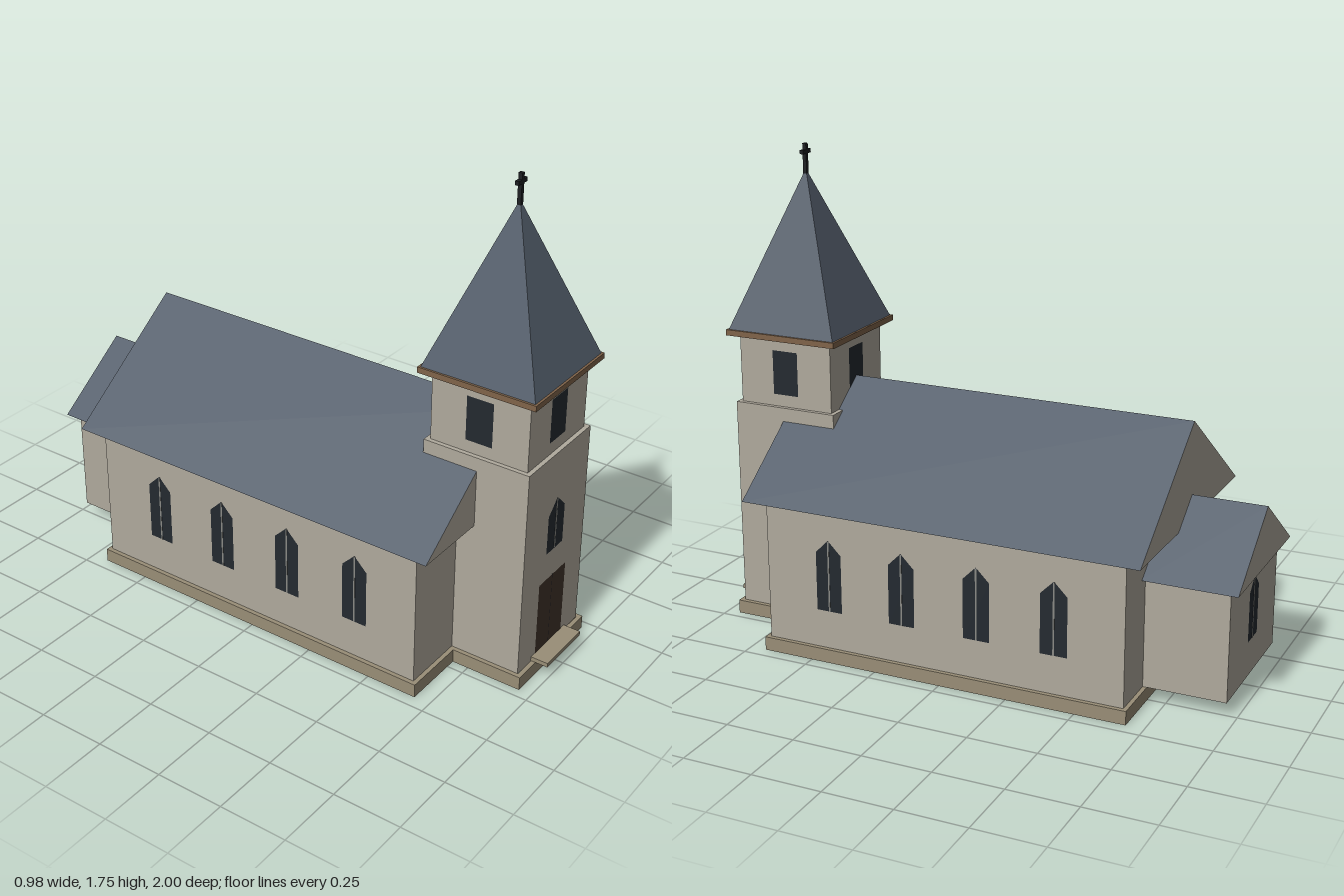
import * as THREE from 'three';

const paint = (color) => new THREE.MeshStandardMaterial({ color, flatShading: true });

export function createModel() {
  const church = new THREE.Group();
  const stone = paint(0xb0aa9d), slate = paint(0x525c69), plinth = paint(0x998e77);
  const timber = paint(0x80644a), wood = paint(0x41332a), glass = paint(0x242a30);
  const iron = paint(0x1d1f22), lead = paint(0x8a8a85);

  const add = (name, geometry, material, parent = church) => {
    const mesh = new THREE.Mesh(geometry, material);
    mesh.name = name;
    parent.add(mesh);
    return mesh;
  };
  // Box given by its extents on each axis
  const box = (name, material, [x0, x1], [y0, y1], [z0, z1], parent) => {
    const mesh = add(name, new THREE.BoxGeometry(x1 - x0, y1 - y0, z1 - z0), material, parent);
    mesh.position.set((x0 + x1) / 2, (y0 + y1) / 2, (z0 + z1) / 2);
  };
  const rectangle = (Type, half, z0, z1) => new Type([
    new THREE.Vector2(-half, -z1), new THREE.Vector2(half, -z1),
    new THREE.Vector2(half, -z0), new THREE.Vector2(-half, -z0),
  ]);
  // Open kerb running round the foot of the walls
  const kerb = (name, half, z0, z1) => {
    const width = 0.016;
    const shape = rectangle(THREE.Shape, half, z0, z1);
    shape.holes.push(rectangle(THREE.Path, half - width, z0 + width, z1 - width));
    const geometry = new THREE.ExtrudeGeometry(shape, { depth: 0.05, bevelEnabled: false });
    add(name, geometry.rotateX(-Math.PI / 2), plinth);
  };
  // Gabled prism: slate slopes and soffit, stone gable ends
  const gable = (name, half, eave, ridge, z0, z1) => {
    const shape = new THREE.Shape([
      new THREE.Vector2(-half, eave), new THREE.Vector2(half, eave), new THREE.Vector2(0, ridge),
    ]);
    const geometry = new THREE.ExtrudeGeometry(shape, { depth: z1 - z0, bevelEnabled: false });
    add(name, geometry, [stone, slate]).position.z = z0;
  };
  // Flush pointed window with a centre mullion, facing the given angle about y
  const lancet = (name, half, height, x, y, z, angle) => {
    const group = new THREE.Group();
    group.name = name;
    const shoulder = height - half;
    const shape = new THREE.Shape([
      new THREE.Vector2(-half, 0), new THREE.Vector2(half, 0), new THREE.Vector2(half, shoulder),
      new THREE.Vector2(0, height), new THREE.Vector2(-half, shoulder),
    ]);
    add('pane', new THREE.ShapeGeometry(shape), glass, group).position.z = 0.001;
    box('mullion', lead, [-0.003, 0.003], [0, height - 0.003], [0, 0.002], group);
    group.position.set(x, y, z);
    group.rotation.y = angle;
    church.add(group);
  };

  // Plinth kerbs, open underneath
  kerb('naveKerb', 0.455, -0.685, 0.69);
  kerb('towerKerb', 0.216, 0.517, 0.953);

  // Nave and chancel
  box('naveWalls', stone, [-0.439, 0.439], [0.049, 0.567], [-0.67, 0.674]);
  gable('naveRoof', 0.49, 0.567, 0.92, -0.735, 0.741);
  box('chancelWalls', stone, [-0.26, 0.26], [0.05, 0.447], [-0.965, -0.66]);
  gable('chancelRoof', 0.295, 0.447, 0.66, -1, -0.665);

  // Tower, belfry and spire
  const towerZ = 0.735;
  box('towerWalls', stone, [-0.2, 0.2], [0.048, 0.826], [towerZ - 0.2, towerZ + 0.2]);
  box('belfryWalls', stone, [-0.184, 0.184], [0.826, 1.078], [towerZ - 0.184, towerZ + 0.184]);
  box('cornice', timber, [-0.22, 0.22], [1.076, 1.097], [towerZ - 0.22, towerZ + 0.22]);
  const spire = add('spire', new THREE.ConeGeometry(0.212 * Math.SQRT2, 0.56, 4), slate);
  spire.rotation.y = Math.PI / 4;
  spire.position.set(0, 1.377, towerZ);

  // Belfry openings on all four sides
  for (let i = 0; i < 4; i++) {
    const a = i * Math.PI / 2;
    const opening = add('belfryOpening', new THREE.PlaneGeometry(0.1, 0.162), glass);
    opening.position.set(Math.sin(a) * 0.185, 0.951, towerZ + Math.cos(a) * 0.185);
    opening.rotation.y = a;
  }

  // Finial cross
  box('crossPost', iron, [-0.007, 0.007], [1.64, 1.747], [towerZ - 0.007, towerZ + 0.007]);
  box('crossArm', iron, [-0.026, 0.026], [1.711, 1.725], [towerZ - 0.007, towerZ + 0.007]);

  // Double door and doorstep
  for (const s of [-1, 1]) {
    const leaf = add('doorLeaf', new THREE.PlaneGeometry(0.0865, 0.278), wood);
    leaf.position.set(s * 0.0442, 0.204, 0.936);
  }
  box('doorGap', iron, [-0.002, 0.002], [0.065, 0.343], [0.93, 0.9355]);
  box('doorstep', plinth, [-0.112, 0.112], [0.05, 0.066], [0.93, 1]);

  // Windows
  lancet('towerWindow', 0.053, 0.2, 0, 0.449, 0.935, 0);
  lancet('chancelWindow', 0.05, 0.23, 0, 0.18, -0.965, Math.PI);
  for (const s of [-1, 1]) {
    for (let i = 0; i < 4; i++) {
      lancet('naveWindow', 0.049, 0.265, s * 0.439, 0.19, 0.43 - i * 0.283, s * Math.PI / 2);
    }
  }
  return church;
}
